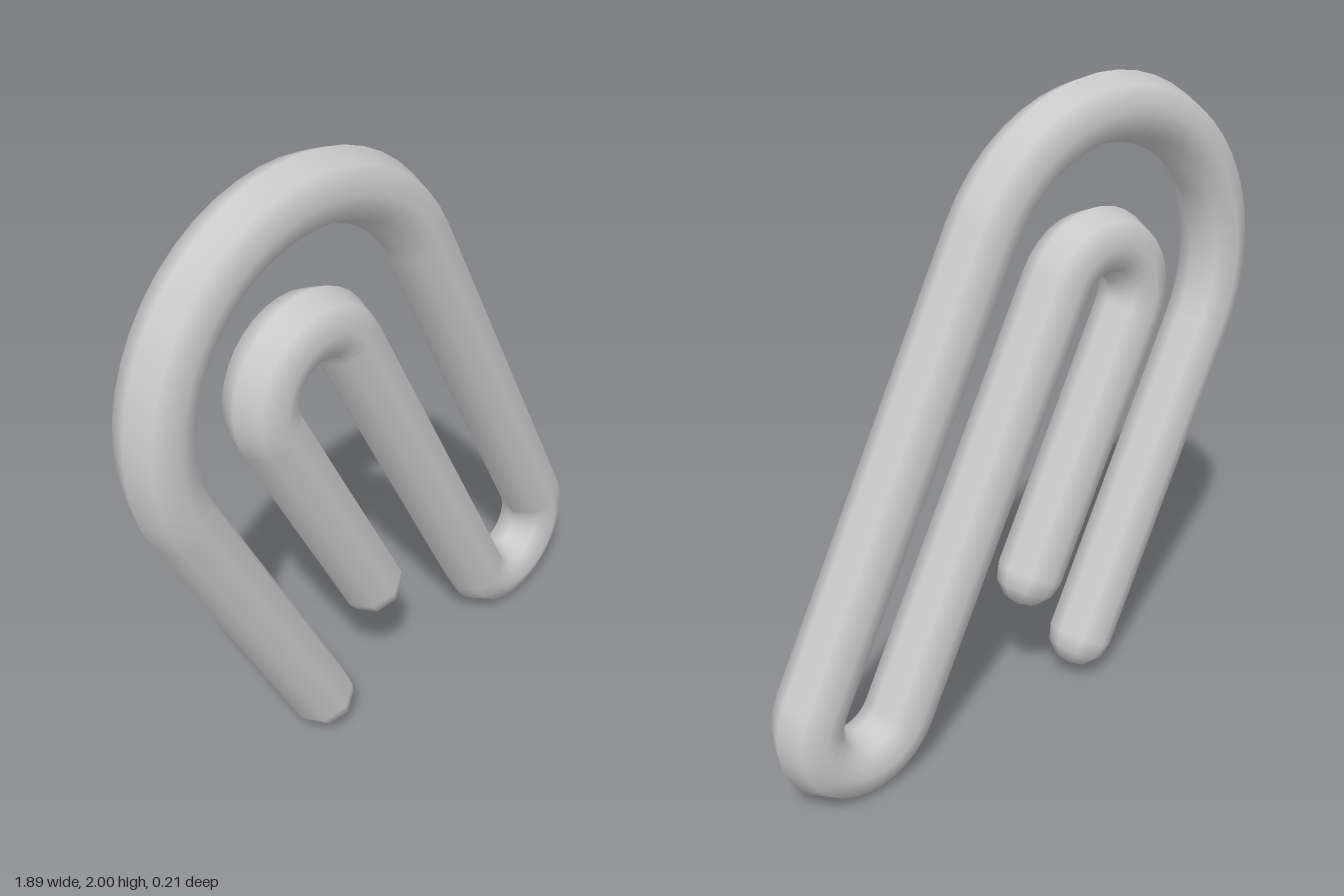
import * as THREE from 'three';

const R = 0.105;                        // wire radius
const SIDES = 8;
const TILT = THREE.MathUtils.degToRad(28);

// Stations along the wire: centre x, y, travel direction a,
// and latitude (0 on the wire, -90..90 degrees across the rounded ends)
function wireStations() {
  const stations = [];
  const up = TILT + Math.PI / 2, down = up - Math.PI;
  const cap = (x, y, a, from, to) => {
    for (let lat = from; lat <= to; lat += 30) {
      stations.push({ x, y, a, lat: THREE.MathUtils.degToRad(lat) });
    }
  };
  // Half-circle bend; turn = +1 counter-clockwise, -1 clockwise
  const bend = (cx, cy, r, start, turn, steps) => {
    for (let i = 0; i <= steps; i++) {
      const t = start + turn * Math.PI * i / steps;
      stations.push({
        x: cx + r * Math.cos(t), y: cy + r * Math.sin(t),
        a: t + turn * Math.PI / 2, lat: 0,
      });
    }
  };
  cap(-0.262, 0.14, up, -90, 0);                          // outer end
  bend(-0.31, 1.367, 0.53, TILT + Math.PI, -1, 24);       // large top bend
  bend(0.665, 0.28, 0.175, TILT, -1, 16);                 // bottom bend
  bend(-0.29, 1.325, 0.175, TILT, 1, 16);                 // small top bend
  cap(-0.03, 0.463, down, 0, 90);                         // inner end
  return stations;
}

// Loft a ring of vertices through every station
function sweepWire(stations) {
  const positions = [], normals = [], index = [];
  stations.forEach(({ x, y, a, lat }, i) => {
    const tangent = new THREE.Vector3(Math.cos(a), Math.sin(a), 0);
    const side = new THREE.Vector3(-tangent.y, tangent.x, 0);
    for (let j = 0; j <= SIDES; j++) {
      const phi = j / SIDES * Math.PI * 2;
      const n = side.clone().multiplyScalar(Math.cos(phi));
      n.z = Math.sin(phi);
      n.multiplyScalar(Math.cos(lat)).addScaledVector(tangent, Math.sin(lat));
      normals.push(n.x, n.y, n.z);
      positions.push(x + n.x * R, y + n.y * R, n.z * R);
      if (i > 0 && j > 0) {
        const d = i * (SIDES + 1) + j, c = d - 1;
        const b = d - SIDES - 1, e = b - 1;
        index.push(e, b, c, b, d, c);
      }
    }
  });
  const geometry = new THREE.BufferGeometry();
  geometry.setAttribute('position', new THREE.Float32BufferAttribute(positions, 3));
  geometry.setAttribute('normal', new THREE.Float32BufferAttribute(normals, 3));
  geometry.setIndex(index);
  return geometry;
}

export function createModel() {
  const group = new THREE.Group();
  group.name = 'paperclip';
  const wire = new THREE.Mesh(
    sweepWire(wireStations()),
    new THREE.MeshStandardMaterial({ color: 0xcccccc }),
  );
  wire.name = 'bentWire';
  group.add(wire);
  return group;
}
